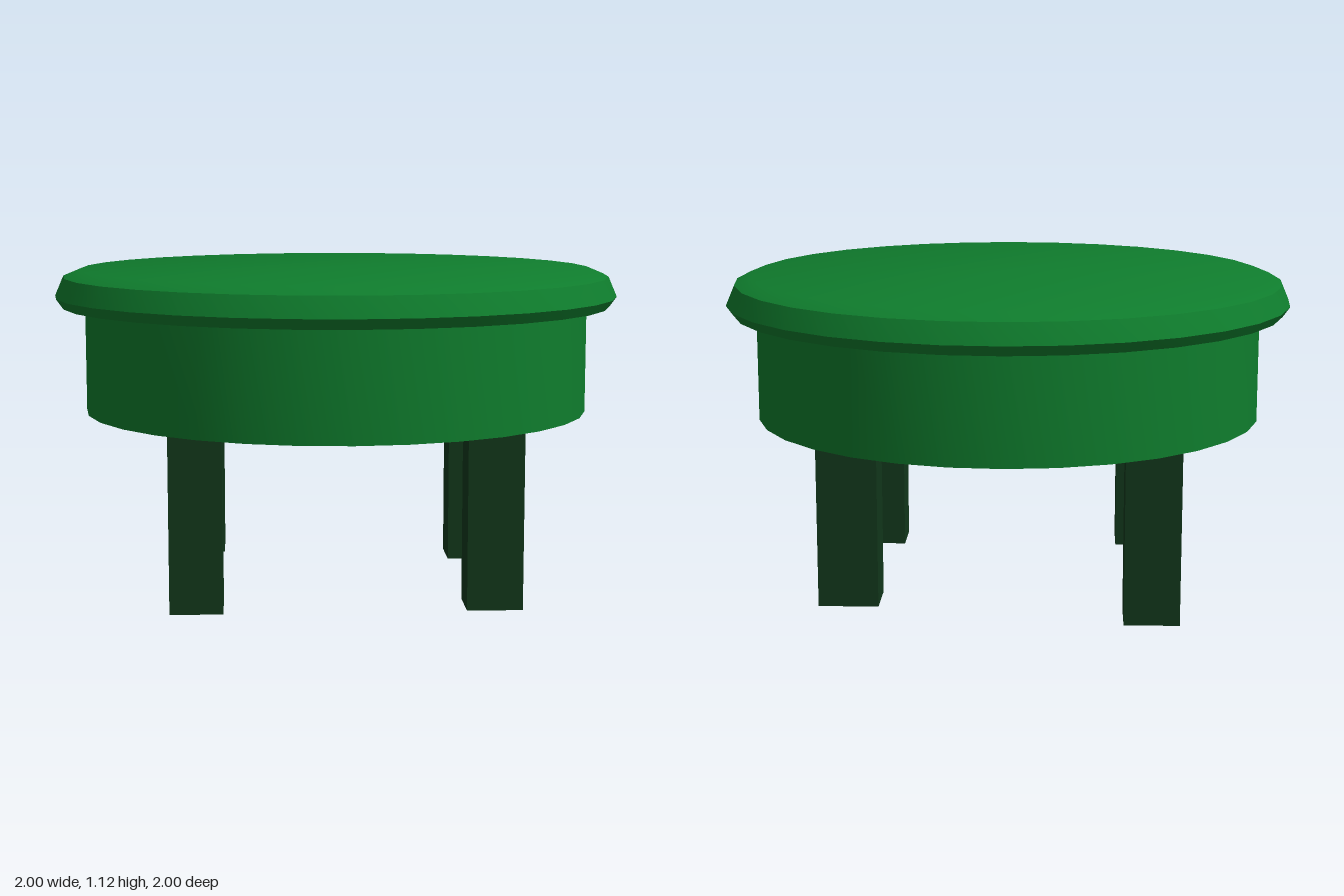
import * as THREE from 'three';
import { toCreasedNormals } from 'three/addons/utils/BufferGeometryUtils.js';

const SIDES = 32;

// Turned part from a profile of [radius, height] pairs, with crisp edges
function turned(name, profile, material) {
  const points = profile.map(([r, y]) => new THREE.Vector2(r, y));
  const geometry = toCreasedNormals(new THREE.LatheGeometry(points, SIDES), Math.PI / 6);
  const mesh = new THREE.Mesh(geometry, material);
  mesh.name = name;
  return mesh;
}

export function createModel() {
  const group = new THREE.Group();
  group.name = 'roundStool';
  const green = new THREE.MeshStandardMaterial({ color: 0x0f7d2d });
  const darkGreen = new THREE.MeshStandardMaterial({ color: 0x12381b });

  // Seat disc with a chamfered, overhanging rim
  group.add(turned('seat', [
    [0, 0.995], [0.975, 0.995], [1, 1.03], [0.97, 1.1], [0.91, 1.125], [0, 1.125],
  ], green));

  // Apron: hollow drum, open below
  const ceiling = 0.94;
  group.add(turned('apron', [
    [0, ceiling], [0.835, ceiling], [0.835, 0.62], [0.895, 0.62], [0.895, 1],
  ], green));

  // Four square legs, all turned the same way: [x, z, width, depth]
  const legs = [
    [0.145, 0.69, 0.19, 0.17],
    [0.625, 0.055, 0.21, 0.175],
    [-0.14, -0.685, 0.19, 0.18],
    [-0.69, 0.125, 0.18, 0.165],
  ];
  for (const [x, z, width, depth] of legs) {
    const leg = new THREE.Mesh(new THREE.BoxGeometry(width, ceiling, depth), darkGreen);
    leg.name = 'leg';
    leg.position.set(x, ceiling / 2, z);
    leg.rotation.y = -THREE.MathUtils.degToRad(35);
    group.add(leg);
  }
  return group;
}
